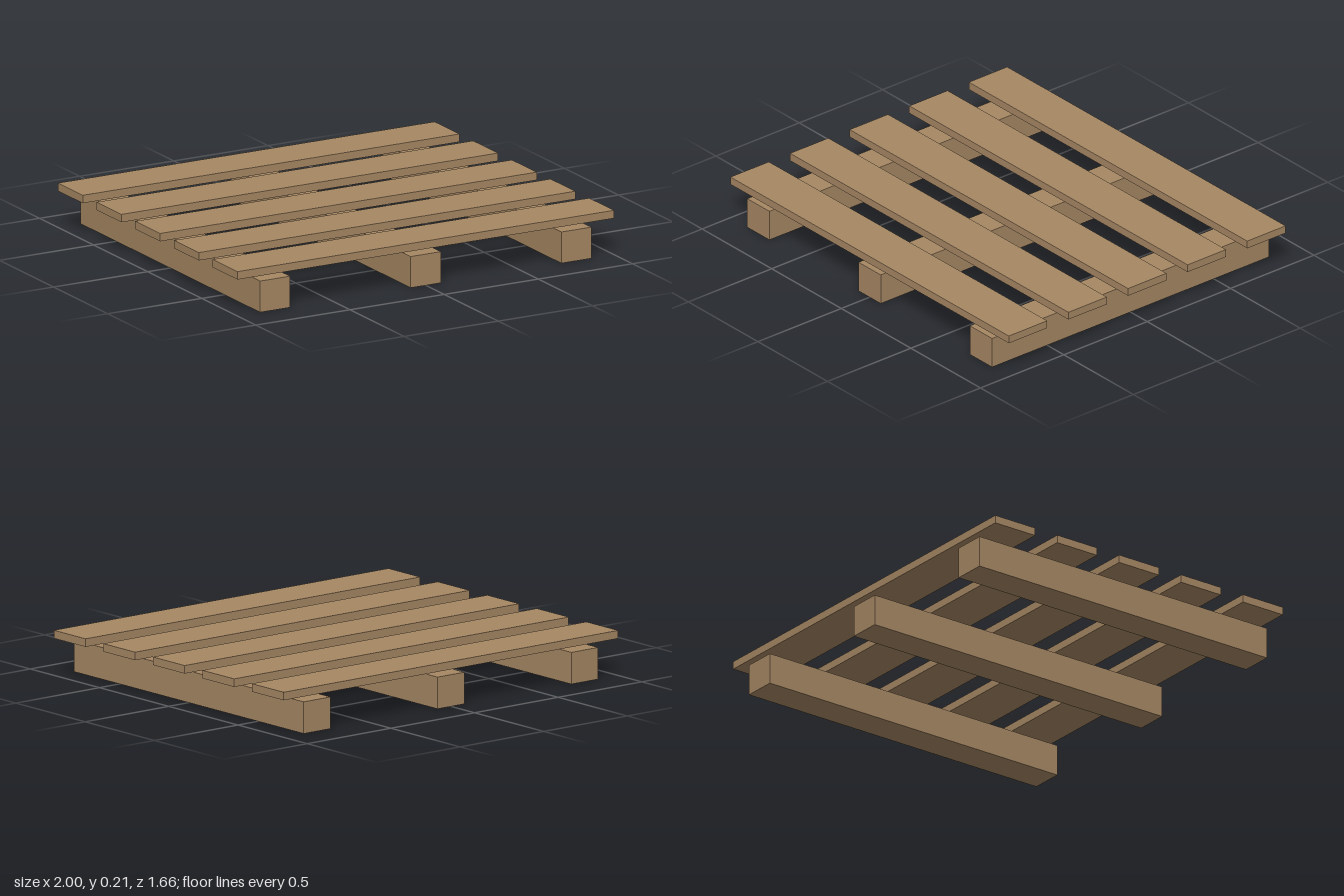
import * as THREE from 'three';

export function createModel() {
  const group = new THREE.Group();
  group.name = 'pallet';
  const wood = new THREE.MeshStandardMaterial({ color: 0xa68763 });
  wood.name = 'wood';

  function addBoard(name, geometry, x, y, z) {
    const mesh = new THREE.Mesh(geometry, wood);
    mesh.name = name;
    mesh.position.set(x, y, z);
    group.add(mesh);
  }

  // Three bearers running front to back
  const bearer = new THREE.BoxGeometry(0.16, 0.15, 1.66);
  for (let i = -1; i <= 1; i++) addBoard(`bearer${i + 2}`, bearer, i * 0.8, 0.075, 0);

  // Five deck slats across the top, with a small gap above the bearers
  const slat = new THREE.BoxGeometry(2, 0.038, 0.23);
  for (let i = -2; i <= 2; i++) addBoard(`deckSlat${i + 3}`, slat, 0, 0.194, i * 0.3575);

  return group;
}
